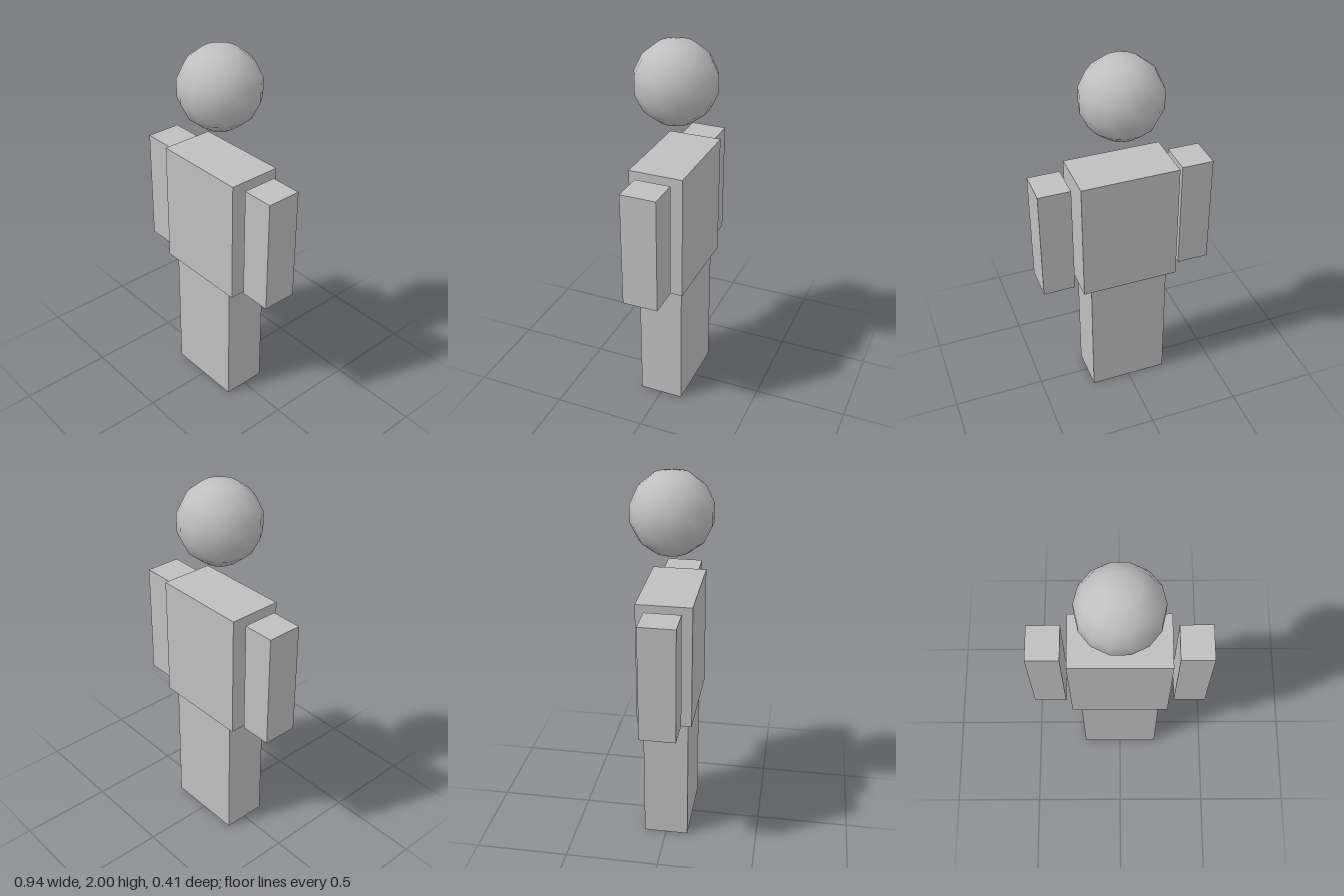
import * as THREE from 'three';

const grey = new THREE.MeshStandardMaterial({ color: 0xbfbfbf });
grey.name = 'plain grey';

// Box from its size and base height, with its shading normals turned inward
function block(name, width, height, depth, x, baseY) {
  const geometry = new THREE.BoxGeometry(width, height, depth);
  const normals = geometry.attributes.normal;
  for (let i = 0; i < normals.count; i++) {
    normals.setXYZ(i, -normals.getX(i), -normals.getY(i), -normals.getZ(i));
  }
  const mesh = new THREE.Mesh(geometry, grey);
  mesh.name = name;
  mesh.position.set(x, baseY + height / 2, 0);
  return mesh;
}

export function createModel() {
  const model = new THREE.Group();
  model.name = 'blockFigure';

  // Legs and torso
  model.add(block('legs', 0.43, 0.725, 0.24, 0, 0));
  model.add(block('torso', 0.526, 0.67, 0.288, 0, 0.725));

  // Arms, set apart from the torso
  for (const [name, side] of [['leftArm', 1], ['rightArm', -1]]) {
    model.add(block(name, 0.172, 0.62, 0.19, side * 0.384, 0.75));
  }

  // Floating head: coarse outline with smooth shading
  const head = new THREE.Mesh(new THREE.SphereGeometry(0.216, 14, 7), grey);
  head.name = 'head';
  head.position.y = 1.784;
  model.add(head);

  return model;
}
